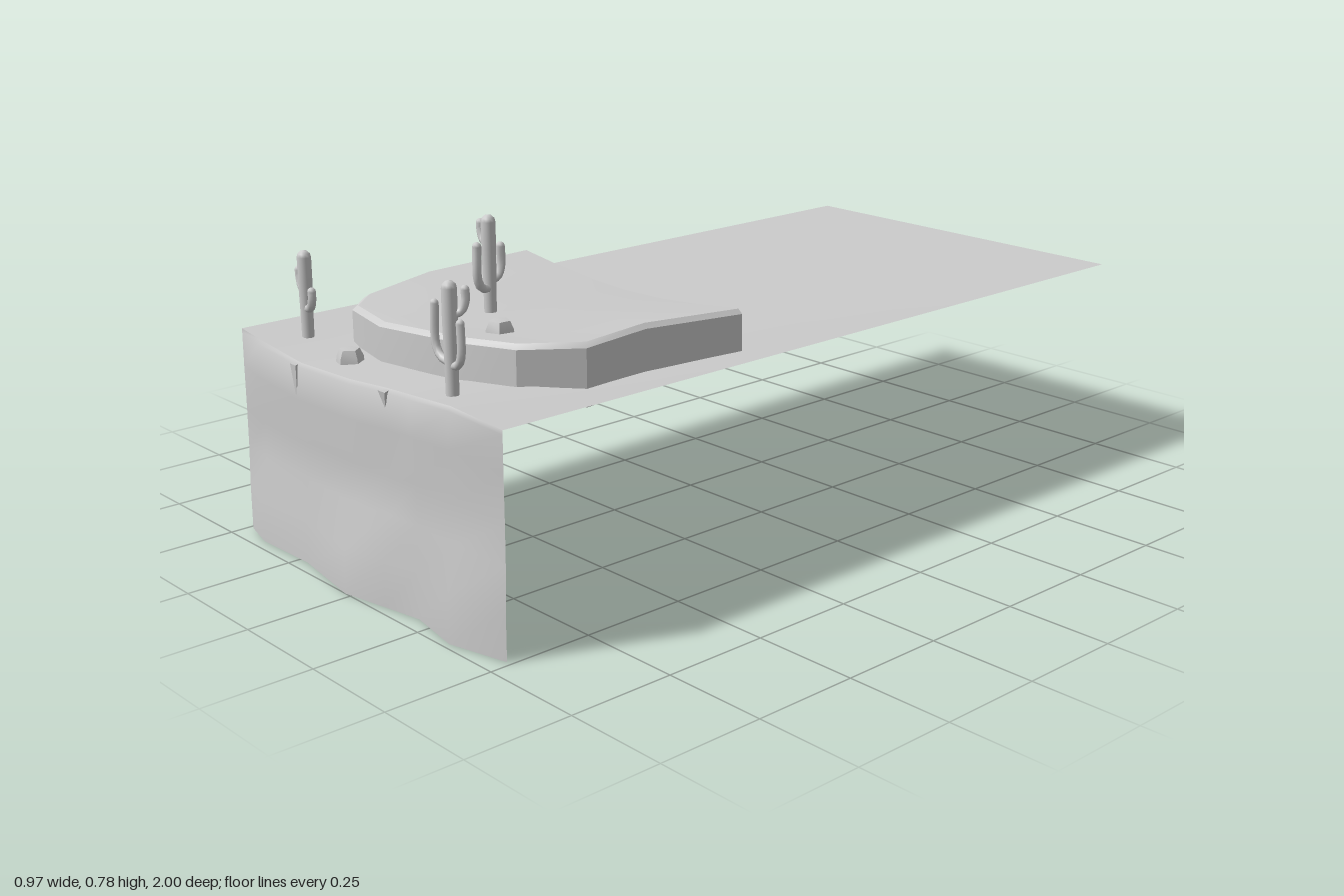
import * as THREE from 'three';
import { toCreasedNormals } from 'three/addons/utils/BufferGeometryUtils.js';

const material = new THREE.MeshStandardMaterial({ color: 0xcccccc, side: THREE.DoubleSide });
const V = (x, y, z) => new THREE.Vector3(x, y, z);
const lerp = THREE.MathUtils.lerp;

function add(parent, name, geometry) {
  const mesh = new THREE.Mesh(geometry, material);
  mesh.name = name;
  parent.add(mesh);
  return mesh;
}

// Skin a list of equally long rows of points
function skin(rows, crease = 0.6) {
  const n = rows[0].length, index = [];
  for (let j = 0; j < rows.length - 1; j++) {
    for (let i = 0; i < n - 1; i++) {
      const a = j * n + i, b = a + n;
      index.push(a, b, a + 1, b, b + 1, a + 1);
    }
  }
  const g = new THREE.BufferGeometry().setFromPoints(rows.flat());
  g.setIndex(index);
  return toCreasedNormals(g, crease);
}

// Cliff columns: x, rim height, rim z, foot z
const columns = [
  [-0.487, 0.488, 0.945, 0.95], [-0.4, 0.481, 0.95, 0.972], [-0.22, 0.467, 0.955, 0.968],
  [-0.02, 0.477, 0.96, 1.0], [0.1, 0.484, 0.95, 0.978], [0.2, 0.494, 0.958, 0.96],
  [0.34, 0.504, 0.96, 0.985], [0.487, 0.487, 0.945, 0.95],
];

function buildGround(group) {
  // Long flat ground, rolling gently towards the cliff edge
  const ground = [];
  for (let j = 0; j <= 8; j++) {
    const t = j / 8;
    ground.push(columns.map(([x, y, z]) => V(x, lerp(0.487, y, t * t), lerp(-1, z, t))));
  }
  add(group, 'ground', skin(ground));

  // Cliff face: height fraction, blend towards the foot, bulge
  const levels = [[1, 0, 0], [0.98, 0, 0.006], [0.82, 0.1, 0.008], [0.6, 0.1, -0.004],
    [0.42, 0.25, -0.003], [0.22, 0.9, 0], [0, 1, 0]];
  const face = levels.map(([h, blend, bulge]) =>
    columns.map(([x, y, rim, foot], i) => {
      const inner = i > 0 && i < columns.length - 1 ? 1 : 0;
      return V(x, y * h, lerp(rim, foot, blend) + bulge * inner);
    }));
  add(group, 'cliffFace', skin(face, 0.9));

  // Pointed cracks hanging from the rim
  for (const [x, top, length, width] of [[-0.234, 0.463, 0.093, 0.013], [0.11, 0.482, 0.037, 0.015]]) {
    const g = new THREE.ConeGeometry(width, length, 3, 1);
    g.rotateX(Math.PI);
    const crack = add(group, 'crack', toCreasedNormals(g, 0.3));
    crack.position.set(x, top - length / 2, 0.962);
  }
}

// Raised plateau, open at the back: outline x, z and top height
const outline = [
  [-0.345, 0.24, 0.583], [-0.367, 0.52, 0.572], [-0.325, 0.72, 0.56], [-0.265, 0.79, 0.557],
  [-0.09, 0.835, 0.563], [0.18, 0.82, 0.581], [0.32, 0.78, 0.588], [0.412, 0.67, 0.59],
  [0.402, 0.5, 0.596], [0.424, 0.24, 0.584],
];

function buildPlateau(group) {
  const plateau = new THREE.Group();
  plateau.name = 'plateau';
  const inset = ([x, z, y]) => V(0.03 + (x - 0.03) * 0.97, y, 0.24 + (z - 0.24) * 0.98);
  const foot = outline.map(([x, z]) => V(x, lerp(0.47, 0.447, (z - 0.24) / 0.6), z));
  const shoulder = outline.map(([x, z, y]) => V(x, y - 0.01, z));
  const lip = outline.map(inset);
  add(plateau, 'plateauWall', skin([lip, shoulder, foot], 0.5));

  // Top surface sags between its two side rims
  const sag = [0.03, 0.018, 0.008, 0.002, 0];
  const steps = 6;
  const rows = sag.map((s, j) => {
    const row = [];
    for (let i = 0; i <= steps; i++) {
      const t = i / steps;
      const p = lip[j].clone().lerp(lip[9 - j], t);
      p.y -= s * Math.sin(Math.PI * t);
      row.push(p);
    }
    return row;
  });
  add(plateau, 'plateauTop', skin(rows));
  group.add(plateau);
}

// Cactus: a rounded trunk with upturned arms [dx, dz, start height, tip height, radius]
function buildCactus(group, [x, base, z], height, radius, arms) {
  const cactus = new THREE.Group();
  cactus.name = 'cactus';
  cactus.position.set(x, base, z);
  const profile = [[0.85, -0.02], [0.9, height * 0.3], [1, height * 0.65], [1, height - radius],
    [0.87, height - radius * 0.5], [0.5, height - radius * 0.13], [0, height]];
  add(cactus, 'trunk', new THREE.LatheGeometry(
    profile.map(([r, y]) => new THREE.Vector2(r * radius, y)), 10));
  for (const [dx, dz, start, tip, r] of arms) {
    const end = tip - r - base, low = start - base;
    const path = new THREE.CatmullRomCurve3([
      V(0, low, 0), V(dx * 0.7, low + 0.008, dz * 0.7), V(dx, low + 0.03, dz), V(dx, end, dz)]);
    add(cactus, 'arm', new THREE.TubeGeometry(path, 10, r, 8));
    add(cactus, 'armTip', new THREE.SphereGeometry(r, 8, 6)).position.set(dx, end, dz);
  }
  group.add(cactus);
}

// Five-sided boulder with a chamfered top
function buildRock(group, x, y, z, turn) {
  const g = new THREE.LatheGeometry([[0.033, -0.01], [0.031, 0.012], [0.023, 0.03], [0, 0.032]]
    .map(([r, h]) => new THREE.Vector2(r, h)), 5);
  const rock = add(group, 'rock', toCreasedNormals(g, 0.4));
  rock.position.set(x, y, z);
  rock.rotation.y = turn;
}

export function createModel() {
  const group = new THREE.Group();
  group.name = 'desertCliff';
  buildGround(group);
  buildPlateau(group);

  buildCactus(group, [-0.354, 0.478, 0.853], 0.202, 0.016, [
    [-0.034, -0.006, 0.585, 0.638, 0.01], [0.038, 0.008, 0.545, 0.602, 0.01]]);
  buildCactus(group, [0.013, 0.567, 0.612], 0.218, 0.016, [
    [-0.033, -0.004, 0.718, 0.771, 0.01], [0.016, 0.044, 0.62, 0.733, 0.01],
    [-0.006, -0.036, 0.635, 0.718, 0.01]]);
  buildCactus(group, [0.271, 0.5, 0.905], 0.238, 0.016, [
    [-0.052, 0, 0.565, 0.69, 0.009], [0.038, 0.003, 0.56, 0.665, 0.009],
    [0.018, -0.026, 0.665, 0.727, 0.009]]);

  buildRock(group, -0.143, 0.471, 0.88, 0.3);
  buildRock(group, 0.185, 0.572, 0.717, 0.9);
  return group;
}
